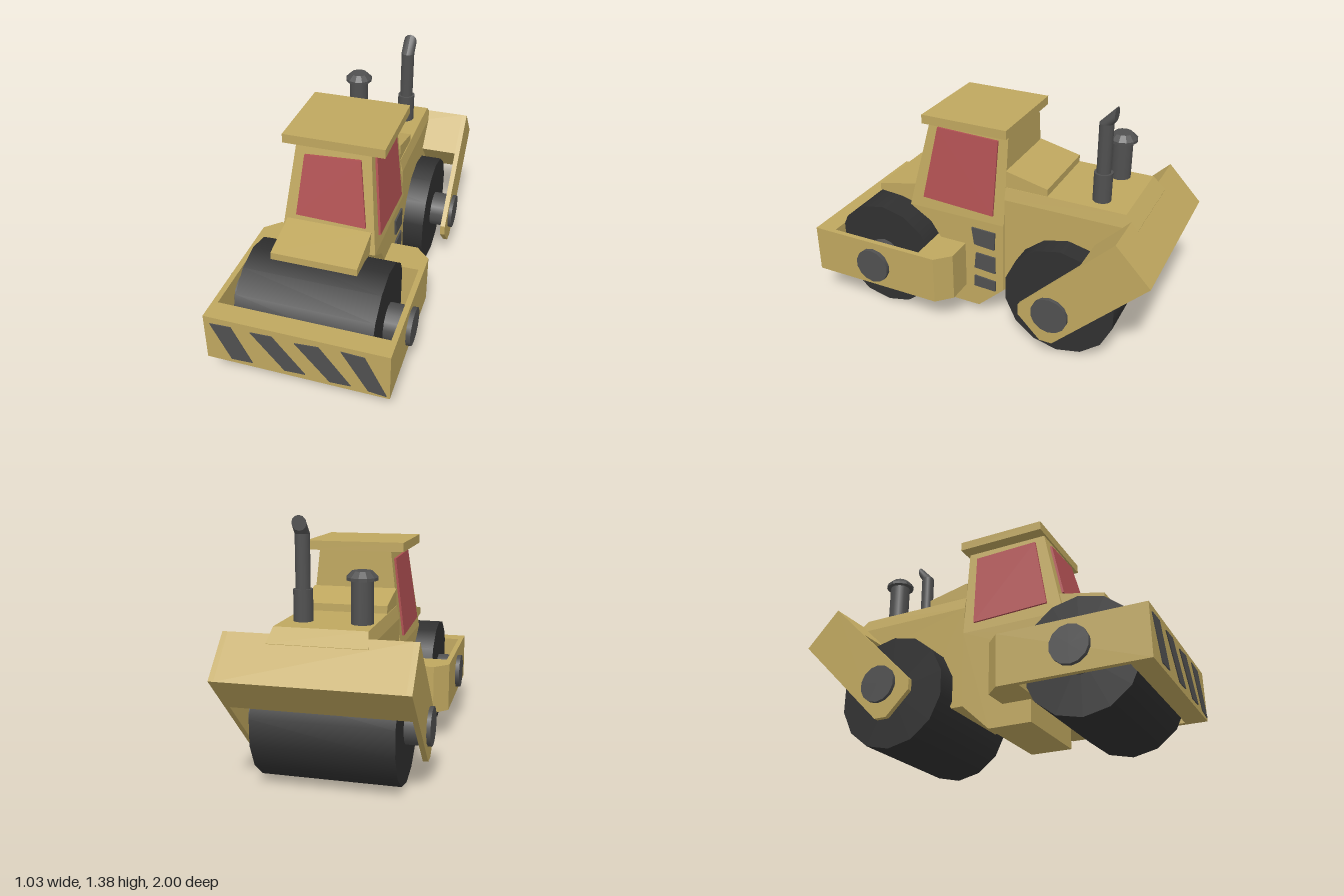
import * as THREE from 'three';

const mat = (color) => new THREE.MeshStandardMaterial({ color });

export function createModel() {
  const model = new THREE.Group();
  const yellow = mat(0xbfa75f), black = mat(0x303030), grey = mat(0x505050), red = mat(0xb05052);

  const add = (name, geometry, material) => {
    const mesh = new THREE.Mesh(geometry, material);
    mesh.name = name;
    model.add(mesh);
    return mesh;
  };
  const extrude = (points, depth, hole) => {
    const shape = new THREE.Shape(points.map(([a, b]) => new THREE.Vector2(a, b)));
    if (hole) shape.holes.push(new THREE.Path(hole.map(([a, b]) => new THREE.Vector2(a, b))));
    return new THREE.ExtrudeGeometry(shape, { depth, bevelEnabled: false });
  };
  // Moves every vertex by a rule and refreshes the normals
  const warp = (geometry, rule) => {
    const p = geometry.attributes.position, v = new THREE.Vector3();
    for (let i = 0; i < p.count; i++) {
      rule(v.fromBufferAttribute(p, i));
      p.setXYZ(i, v.x, v.y, v.z);
    }
    geometry.computeVertexNormals();
    return geometry;
  };
  // Side profile of [z, y] points, spanning x = inner(y) to outer(y)
  const slab = (points, inner, outer) => {
    const g = extrude(points, 1).rotateY(-Math.PI / 2).translate(1, 0, 0);
    return warp(g, (v) => { v.x = v.x > 0.5 ? outer(v.y) : inner(v.y); });
  };
  const body = (points, half) => slab(points, (y) => -half(y), half);

  // Cab narrows above the sill
  const cabHalf = (y) => 0.26 - 0.06 * Math.max(0, (y - 0.63) / 0.525);
  const cabFront = (y) => 0.48 - 0.12 * (y - 0.63) / 0.525;
  add('cab', body([[0.48, 0.63], [0.36, 1.155], [-0.11, 1.155], [-0.11, 0.63]], cabHalf), yellow);
  add('lowerBody', body([[0.48, 0.63], [-0.11, 0.63], [-0.11, 0.21], [0.05, 0.06], [0.29, 0.06],
    [0.29, 0.46], [0.35, 0.55]], () => 0.26), yellow);
  add('roof', new THREE.BoxGeometry(0.545, 0.05, 0.5).translate(0, 1.18, 0.12), yellow);
  add('nose', body([[0.44, 0.755], [0.7, 0.7], [0.7, 0.66], [0.56, 0.65], [0.44, 0.62]], () => 0.23), yellow);

  // Windows stand slightly proud of the tilted walls
  const sidePane = [[0.31, 1.12], [-0.055, 1.11], [-0.045, 0.68], [0.39, 0.7]];
  add('leftWindow', slab(sidePane, (y) => cabHalf(y) - 0.01, (y) => cabHalf(y) + 0.012), red);
  add('rightWindow', slab(sidePane, (y) => -cabHalf(y) - 0.012, (y) => 0.01 - cabHalf(y)), red);
  add('windscreen', warp(extrude([[-0.15, 1.11], [0.15, 1.125], [0.2, 0.775], [-0.18, 0.785]], 0.025),
    (v) => { v.z += cabFront(v.y) - 0.012; }), red);

  // Vents on the left flank
  [
    [[0.085, 0.58], [-0.06, 0.575], [-0.055, 0.465], [0.07, 0.475]],
    [[0.06, 0.42], [-0.06, 0.415], [-0.06, 0.31], [0.07, 0.32]],
    [[0.07, 0.265], [-0.06, 0.255], [-0.06, 0.19], [0.075, 0.195]],
  ].forEach((quad) => add('vent', slab(quad, () => 0.25, () => 0.27), grey));

  // Engine body, hood and raised cowl
  add('rearBody', body([[-0.11, 0.79], [-0.85, 0.79], [-0.85, 0.6], [-0.6, 0.5], [-0.3, 0.4],
    [-0.18, 0.21], [-0.11, 0.21]], () => 0.25), yellow);
  add('hood', body([[-0.11, 0.79], [-0.11, 0.86], [-0.78, 0.86], [-0.85, 0.79]],
    (y) => (y > 0.8 ? 0.235 : 0.25)), yellow);
  add('cowl', body([[-0.11, 0.86], [-0.11, 0.955], [-0.35, 0.9], [-0.35, 0.86]], () => 0.232), yellow);

  // Drums and hubs
  const roller = (r, width, z) => new THREE.CylinderGeometry(r, r, width, 14, 1, false, Math.PI / 2)
    .rotateZ(Math.PI / 2).translate(0, 0.317, z);
  [['front', 0.605, 0.515], ['rear', -0.485, 0.505]].forEach(([end, z, hub]) => {
    add(end + 'Drum', roller(0.317, 0.74, z), black);
    for (const s of [-1, 1]) {
      add(end + 'Hub', roller(0.103, hub - 0.36, z).translate(s * (hub + 0.36) / 2, 0, 0), grey);
    }
  });

  // Front drum frame: chamfered ring with an opening for the drum
  add('frontFrame', extrude(
    [[-0.49, 0.995], [0.49, 0.995], [0.49, 0.21], [0.41, 0.13], [-0.41, 0.13], [-0.49, 0.21]], 0.28,
    [[-0.46, 0.88], [-0.46, 0.32], [0.46, 0.32], [0.46, 0.88]],
  ).rotateX(Math.PI / 2).translate(0, 0.46, 0), yellow);

  // Slanted warning stripes
  [
    [[-0.455, 0.42], [-0.34, 0.425], [-0.235, 0.21], [-0.35, 0.205]],
    [[-0.235, 0.42], [-0.12, 0.425], [0.05, 0.215], [-0.06, 0.21]],
    [[0, 0.415], [0.125, 0.425], [0.29, 0.21], [0.18, 0.205]],
    [[0.24, 0.43], [0.36, 0.425], [0.475, 0.195], [0.38, 0.205]],
  ].forEach((quad) => add('stripe', extrude(quad, 0.01).translate(0, 0, 0.99), grey));

  // Rear drum fork: two slanted arms joined by a cross beam
  const arm = [[-1, 0.63], [-0.81, 0.83], [-0.3, 0.32], [-0.3, 0.26], [-0.43, 0.13], [-0.5, 0.13]];
  for (const s of [-1, 1]) {
    add('rearArm', slab(arm, () => s * 0.47 - 0.014, () => s * 0.47 + 0.014), yellow);
  }
  add('rearBeam', body([[-1, 0.63], [-0.81, 0.83], [-0.63, 0.65], [-0.82, 0.45]], () => 0.457), yellow);

  // Air intake with mushroom cap
  const cap = [[0, 1.065], [0.08, 1.075], [0.08, 1.09], [0.05, 1.12], [0, 1.12]];
  add('intakePipe', new THREE.CylinderGeometry(0.057, 0.057, 0.23, 12).translate(-0.165, 0.965, -0.615), grey);
  const capMesh = add('intakeCap', new THREE.LatheGeometry(cap.map(([r, y]) => new THREE.Vector2(r, y)), 12)
    .toNonIndexed(), grey);
  capMesh.geometry.computeVertexNormals();
  capMesh.position.set(-0.165, 0, -0.615);

  // Exhaust stack, its tip bent backward with an upright mouth
  const pipe = (r, y0, y1) => new THREE.CylinderGeometry(r, r, y1 - y0, 12)
    .translate(0.135, (y0 + y1) / 2, -0.615);
  add('exhaustBase', pipe(0.05, 0.85, 1.02), grey);
  add('exhaustPipe', pipe(0.038, 1.0, 1.29), grey);
  add('exhaustTip', warp(pipe(0.038, 1.29, 1.345), (v) => {
    if (v.y > 1.32) {
      v.y = 1.345 + (v.z + 0.615);
      v.z = -0.665;
    }
  }), grey);

  return model;
}
